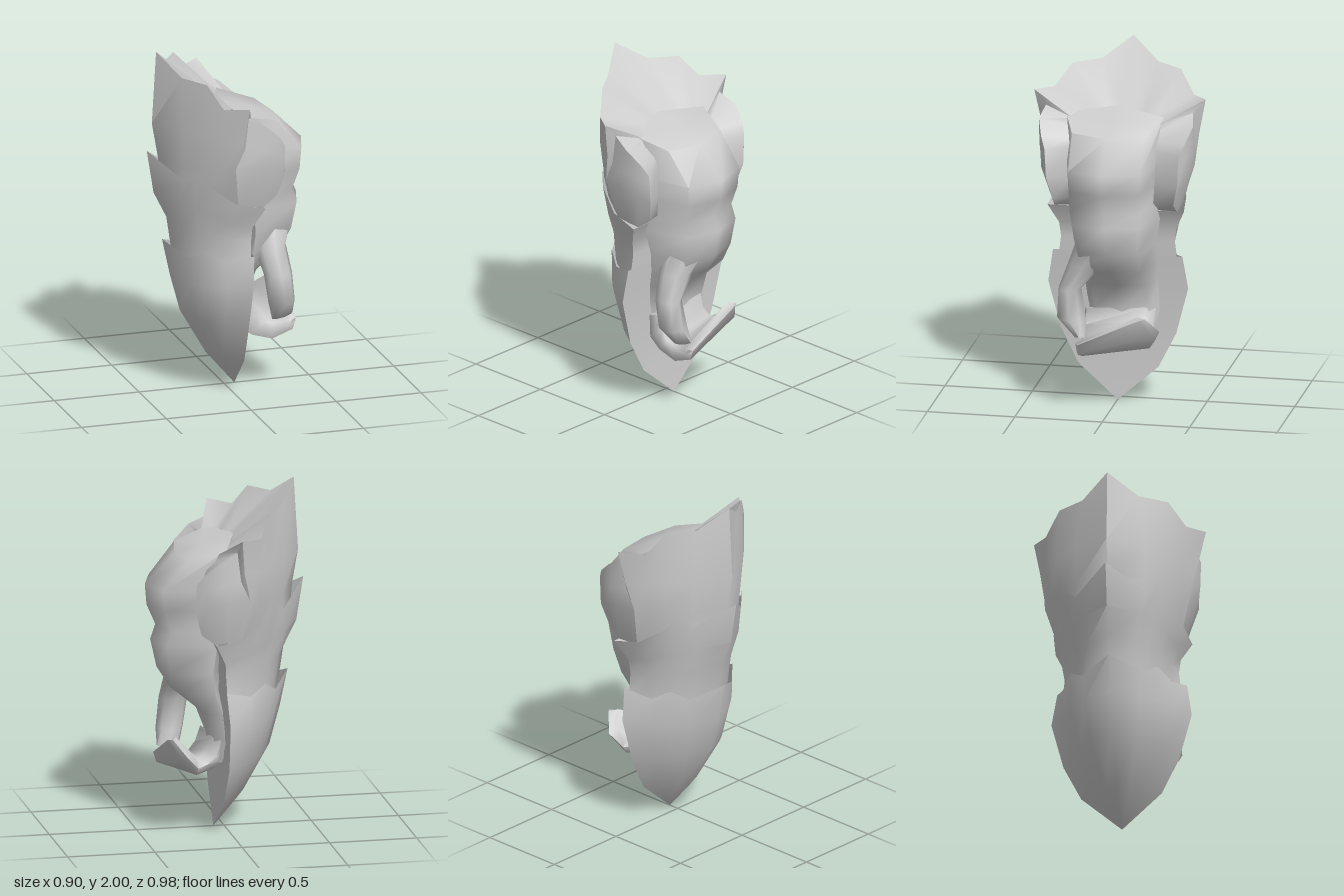
import * as THREE from 'three';
import { toCreasedNormals } from 'three/addons/utils/BufferGeometryUtils.js';

const steel = new THREE.MeshStandardMaterial({ color: 0xcccccc, side: THREE.DoubleSide });
steel.name = 'plain grey';

// Skin over rows of points; rows may close into rings with end caps.
function skin(name, rows, ring = false, crease = 1) {
  const n = rows[0].length;
  const points = rows.flat();
  const index = [];
  for (let i = 0; i < rows.length - 1; i++) {
    for (let j = 0; j < (ring ? n : n - 1); j++) {
      const a = i * n + j, b = i * n + (j + 1) % n;
      index.push(a, a + n, b, b, a + n, b + n);
    }
  }
  if (ring) {
    for (const row of [0, rows.length - 1]) {
      const centre = [0, 1, 2].map((k) => rows[row].reduce((s, p) => s + p[k], 0) / n);
      const c = points.push(centre) - 1;
      for (let j = 0; j < n; j++) {
        const a = row * n + j, b = row * n + (j + 1) % n;
        index.push(c, ...(row === 0 ? [a, b] : [b, a]));
      }
    }
  }
  const geometry = new THREE.BufferGeometry();
  geometry.setAttribute('position', new THREE.Float32BufferAttribute(points.flat(), 3));
  geometry.setIndex(index);
  const mesh = new THREE.Mesh(toCreasedNormals(geometry, crease), steel);
  mesh.name = name;
  return mesh;
}

const mirrorZ = ([x, y, z]) => [x, y, -z];
const flip = (row) => row.map(mirrorZ).reverse();
// Half rows run from the ridge (z = 0) to the +z edge; the other half is mirrored.
const plate = (name, rows) => skin(name, rows.map((r) => [...flip(r).slice(0, -1), ...r]));
const pair = (name, rows) => [skin(`${name}Front`, rows), skin(`${name}Back`, rows.map(flip))];
// Flat sheet that closes a plate between its two long edges.
const backing = (name, edge) => skin(name, edge.map((p) => [p, mirrorZ(p)]));

// Ring from a unit outline: y, x range, z range, and a tilt that lowers the +x side.
const place = (outline, y, x0, x1, z0, z1, tilt = 0) => outline.map(([u, v]) => [
  (x0 + x1) / 2 + u * (x1 - x0) / 2, y - tilt * u, (z0 + z1) / 2 + v * (z1 - z0) / 2,
]);
const sixSided = [[1, 0], [0.75, -0.74], [-0.43, -1], [-1, 0], [-0.43, 1], [0.75, 0.74]];
const round = Array.from({ length: 8 }, (_, i) => [Math.cos(i * Math.PI / 4), -Math.sin(i * Math.PI / 4)]);
const arm = (...size) => place(sixSided, ...size);
const oval = (...size) => place(round, ...size);

export function createModel() {
  const model = new THREE.Group();
  model.name = 'gauntlet';

  // Forearm, wrist and palm
  model.add(skin('forearm', [
    arm(1.64, -0.06, 0.28, -0.26, 0.3, 0.05),
    arm(1.42, -0.07, 0.45, -0.26, 0.29),
    arm(1.3, -0.07, 0.44, -0.255, 0.285),
    arm(1.18, -0.06, 0.388, -0.25, 0.28),
    arm(1.1, -0.04, 0.42, -0.25, 0.27),
    arm(0.94, 0, 0.385, -0.23, 0.24),
    arm(0.82, 0.01, 0.31, -0.23, 0.22),
    arm(0.7, 0.01, 0.165, -0.23, 0.19),
    arm(0.55, 0.01, 0.105, -0.24, 0.17),
    arm(0.42, 0.03, 0.12, -0.21, 0.15),
  ], true, 1.25));

  // Thumb, widening into the wrist
  model.add(skin('thumb', [
    oval(0.98, 0.1, 0.37, -0.06, 0.2),
    oval(0.84, 0.13, 0.315, 0.05, 0.25),
    oval(0.7, 0.16, 0.325, 0.17, 0.3),
    oval(0.53, 0.19, 0.345, 0.14, 0.305),
    oval(0.425, 0.23, 0.35, 0.13, 0.2, -0.015),
  ], true, 1.25));

  // Curled fingers: outer x, y, inner x, y, then lift, depth and x shift of the -z end
  const curl = [
    [0.02, 0.52, 0.1, 0.54, 0.02, -0.22, 0],
    [0.04, 0.385, 0.13, 0.45, 0.04, -0.21, 0],
    [0.11, 0.33, 0.17, 0.4, 0.05, -0.22, 0],
    [0.23, 0.295, 0.22, 0.385, 0.06, -0.24, -0.03],
    [0.35, 0.34, 0.3, 0.39, 0.11, -0.28, -0.06],
    [0.37, 0.4, 0.32, 0.41, 0.16, -0.21, -0.01],
  ];
  model.add(skin('fingers', curl.map(([ox, oy, ix, iy, lift, depth, shift]) => [
    [ox, oy, 0.17],
    [(ox + ix) / 2, (oy + iy) / 2, 0.185],
    [ix, iy, 0.17],
    [ix + shift, iy + lift, depth + 0.05],
    [(ox + ix) / 2 + shift, (oy + iy) / 2 + lift, depth],
    [ox + shift, oy + lift, depth + 0.03],
  ]), true, 1.25));

  // Upper arm plate with a jagged crest
  const crest = [[-0.4, 2, 0], [-0.3, 1.885, 0.16], [-0.2, 1.88, 0.31], [-0.13, 1.755, 0.4], [-0.005, 1.77, 0.49]];
  model.add(plate('upperPlate', [
    crest,
    [[-0.425, 1.58, 0], [-0.31, 1.58, 0.2], [-0.2, 1.57, 0.33], [-0.11, 1.56, 0.4], [-0.025, 1.57, 0.45]],
    [[-0.39, 1.38, 0], [-0.3, 1.38, 0.19], [-0.2, 1.38, 0.3], [-0.13, 1.39, 0.37], [-0.065, 1.4, 0.42]],
    [[-0.38, 1.25, 0], [-0.3, 1.22, 0.17], [-0.2, 1.2, 0.26], [-0.1, 1.18, 0.32], [-0.03, 1.16, 0.36]],
  ]));

  // Side flaps beyond the notch, and the notch walls
  const flapTop = [[0.01, 1.69, 0.42], [0.11, 1.64, 0.44], [0.2, 1.56, 0.41], [0.235, 1.5, 0.385]];
  model.add(...pair('flap', [
    flapTop,
    [[-0.01, 1.52, 0.425], [0.1, 1.5, 0.44], [0.19, 1.48, 0.415], [0.237, 1.44, 0.38]],
    [[-0.065, 1.4, 0.42], [0.06, 1.4, 0.44], [0.18, 1.38, 0.415], [0.237, 1.33, 0.375]],
    [[-0.03, 1.16, 0.36], [0.06, 1.15, 0.36], [0.12, 1.14, 0.35], [0.2, 1.2, 0.345]],
  ]));
  model.add(...pair('notchWall', [
    [crest[4], flapTop[0]],
    [[-0.025, 1.57, 0.45], [-0.01, 1.52, 0.425]],
    [[-0.065, 1.4, 0.42], [-0.065, 1.4, 0.42]],
  ]));

  // Sloping lining from the crest and flaps in to the arm
  model.add(plate('crestLining', [
    crest,
    [[-0.05, 1.685, 0], [-0.03, 1.675, 0.07], [0, 1.665, 0.14], [0.03, 1.65, 0.2], [0.08, 1.64, 0.25]],
  ]));
  model.add(...pair('flapLining', [
    [crest[4], ...flapTop, [0.237, 1.33, 0.375], [0.2, 1.2, 0.345], [0.12, 1.14, 0.35]],
    [[0.08, 1.64, 0.25], [0.08, 1.64, 0.25], [0.1, 1.6, 0.25], [0.15, 1.55, 0.245],
      [0.17, 1.5, 0.24], [0.18, 1.33, 0.235], [0.17, 1.2, 0.225], [0.1, 1.14, 0.22]],
  ]));

  // Wrist plate
  const wristEdge = [[0.12, 1.14, 0.39], [0.06, 1.02, 0.335], [0.055, 0.94, 0.325], [0.05, 0.82, 0.34]];
  model.add(plate('wristPlate', [
    [[-0.455, 1.42, 0], [-0.3, 1.29, 0.2], [-0.245, 1.35, 0.265], [-0.19, 1.28, 0.315], [-0.05, 1.18, 0.37], wristEdge[0]],
    [[-0.415, 1.17, 0], [-0.31, 1.15, 0.17], [-0.24, 1.13, 0.23], [-0.18, 1.1, 0.28], [-0.06, 1.06, 0.335], wristEdge[1]],
    [[-0.34, 1.02, 0], [-0.28, 1, 0.14], [-0.22, 0.98, 0.2], [-0.16, 0.97, 0.25], [-0.05, 0.95, 0.3], wristEdge[2]],
    [[-0.31, 0.82, 0], [-0.25, 0.8, 0.14], [-0.2, 0.8, 0.2], [-0.14, 0.8, 0.25], [-0.05, 0.8, 0.3], wristEdge[3]],
  ]));
  model.add(backing('wristBacking', wristEdge));

  // Hand plate, tapering to a point
  const handEdge = [[0.06, 0.86, 0.37], [0.045, 0.67, 0.4], [0.037, 0.4, 0.33], [0.045, 0.2, 0.23], [0.06, 0, 0]];
  model.add(plate('handPlate', [
    [[-0.365, 0.89, 0], [-0.26, 0.82, 0.17], [-0.185, 0.875, 0.25], [-0.09, 0.82, 0.31], handEdge[0]],
    [[-0.32, 0.68, 0], [-0.25, 0.67, 0.16], [-0.18, 0.67, 0.25], [-0.09, 0.67, 0.33], handEdge[1]],
    [[-0.26, 0.46, 0], [-0.2, 0.44, 0.13], [-0.15, 0.43, 0.2], [-0.08, 0.42, 0.26], handEdge[2]],
    [[-0.11, 0.2, 0], [-0.08, 0.2, 0.07], [-0.05, 0.2, 0.12], [-0.01, 0.2, 0.17], handEdge[3]],
    Array(5).fill(handEdge[4]),
  ]));
  model.add(backing('handBacking', handEdge));

  return model;
}
